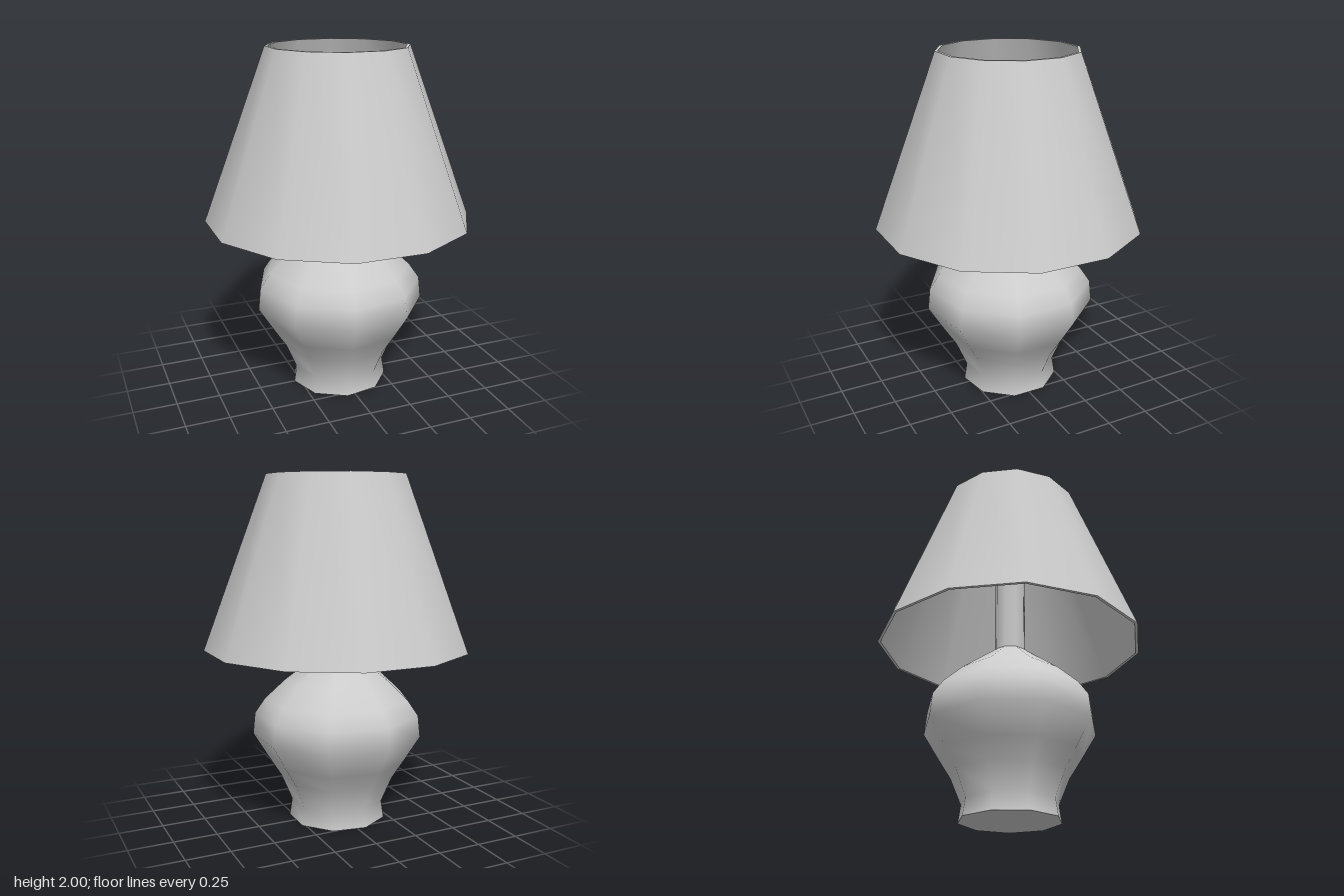
import * as THREE from 'three';

const material = new THREE.MeshStandardMaterial({ color: 0xcccccc });

// Turned part from [radius, height] points; smooth along the profile
function turned(name, points, sides, phiStart) {
  const profile = points.map(([r, y]) => new THREE.Vector2(r, y));
  const mesh = new THREE.Mesh(new THREE.LatheGeometry(profile, sides, phiStart), material);
  mesh.name = name;
  return mesh;
}

export function createModel() {
  const lamp = new THREE.Group();
  lamp.name = 'tableLamp';

  // Nine-sided vase base, stem and flat closing faces
  const base = new THREE.Group();
  base.name = 'base';
  const baseParts = {
    body: [[0.285, 0], [0.27, 0.1], [0.333, 0.25], [0.4, 0.355], [0.495, 0.51],
      [0.482, 0.635], [0.423, 0.72], [0.305, 0.83], [0.09, 0.99]],
    bottom: [[0, 0], [0.285, 0]],
    stem: [[0.09, 0.99], [0.09, 1.55]],
    stemTop: [[0.09, 1.55], [0, 1.55]],
  };
  for (const [name, points] of Object.entries(baseParts)) {
    base.add(turned(name, points, 9, -Math.PI / 2));
  }

  // Twelve-sided hollow shade: walls and rims have sharp edges between them
  const shade = new THREE.Group();
  shade.name = 'shade';
  const corners = [[0.766, 1.02], [0.4, 2], [0.383, 2], [0.749, 1.02]];
  ['outerWall', 'topRim', 'innerWall', 'bottomRim'].forEach((name, i) => {
    shade.add(turned(name, [corners[i], corners[(i + 1) % 4]], 12, Math.PI / 12));
  });

  lamp.add(base, shade);
  return lamp;
}
